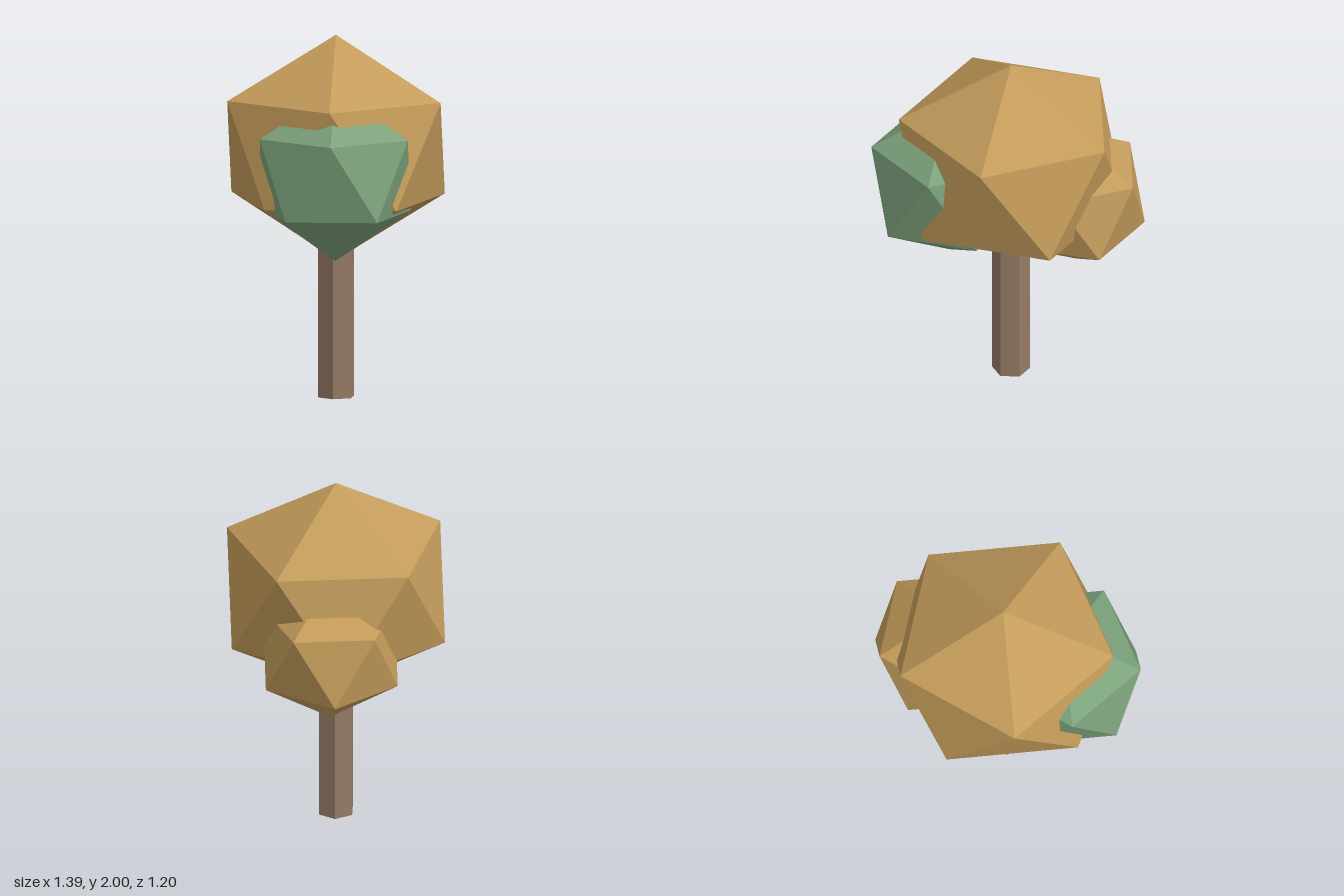
import * as THREE from 'three';

const material = (name, color) => new THREE.MeshStandardMaterial({ name, color, flatShading: true });

// Icosahedron standing on a corner, with one upper-ring corner towards +x
function clump(name, mat, width, height, x, y, z) {
  const geometry = new THREE.IcosahedronGeometry(1, 0);
  geometry.rotateZ(Math.atan(2 / (1 + Math.sqrt(5))));
  geometry.rotateY(Math.PI);
  geometry.scale(width, height, width);
  const mesh = new THREE.Mesh(geometry, mat);
  mesh.name = name;
  mesh.position.set(x, y, z);
  return mesh;
}

export function createModel() {
  const amber = material('amberLeaves', 0xc49c5b);
  const green = material('greenLeaves', 0x7ca27b);
  const bark = material('bark', 0x957b65);
  const tree = new THREE.Group();
  tree.name = 'tree';

  // Six-sided trunk reaching into the crown
  const trunk = new THREE.Mesh(new THREE.CylinderGeometry(0.105, 0.105, 1.1, 6), bark);
  trunk.name = 'trunk';
  trunk.position.set(-0.005, 0.55, -0.015);

  // Overlapping leaf clumps
  tree.add(
    trunk,
    clump('mainCrown', amber, 0.687, 0.622, -0.005, 1.378, -0.016),
    clump('sideCrown', amber, 0.425, 0.422, 0.31, 1.17, -0.176),
    clump('greenCrown', green, 0.477, 0.476, -0.27, 1.276, 0.196),
  );
  return tree;
}
